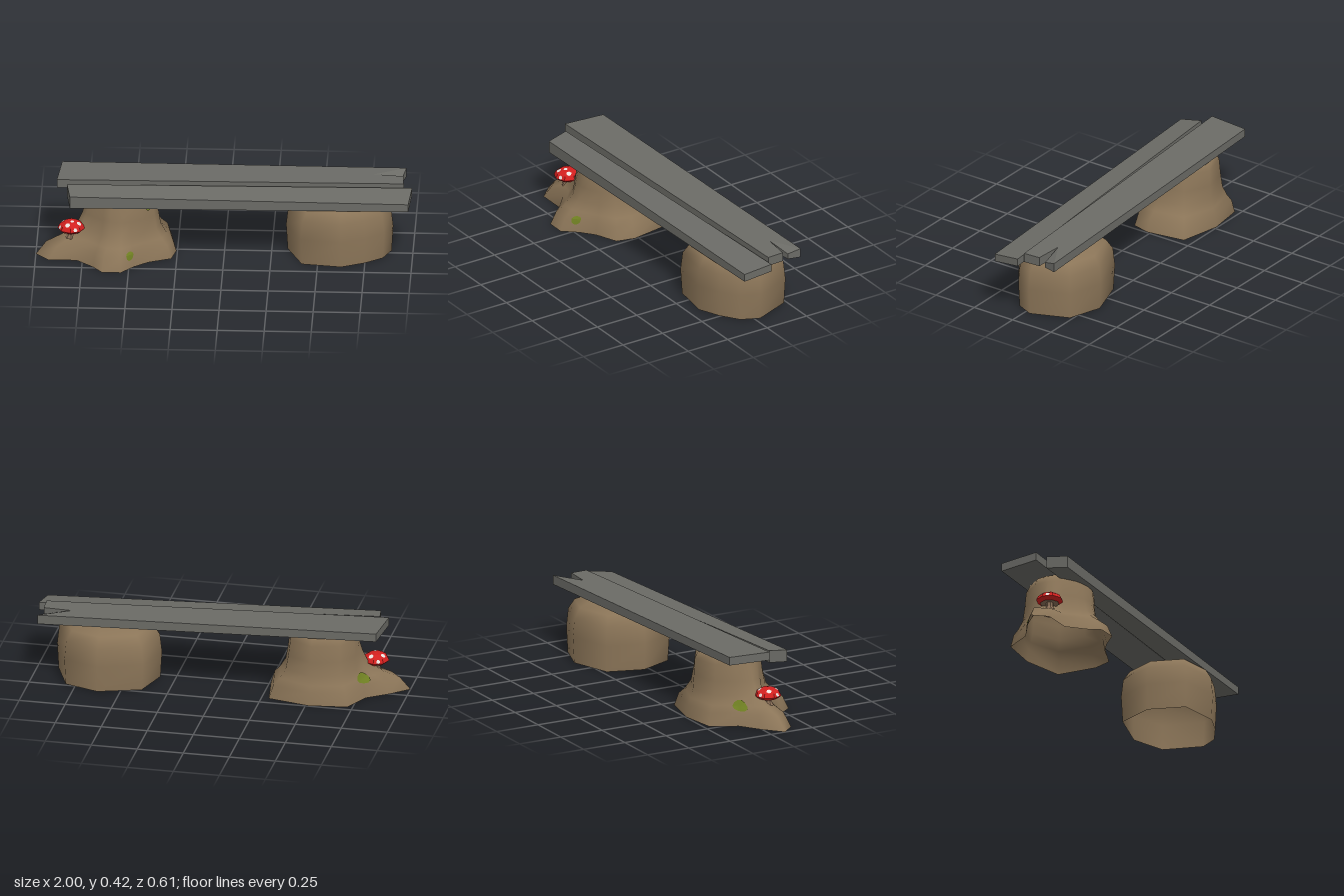
import * as THREE from 'three';

const mat = (name, color, side = THREE.FrontSide) => {
  const m = new THREE.MeshStandardMaterial({ color, side });
  m.name = name;
  return m;
};

// Smooth skin over stacked rings, closed on top and open underneath
function loft(rings) {
  const n = rings[0].length, pos = rings.flat(2), index = [];
  for (let j = 0; j < rings.length - 1; j++) {
    for (let i = 0; i < n; i++) {
      const a = j * n + i, b = j * n + (i + 1) % n;
      index.push(a, a + n, b, b, a + n, b + n);
    }
  }
  const last = (rings.length - 1) * n, mid = [0, 0, 0];
  rings[rings.length - 1].forEach(p => p.forEach((v, k) => { mid[k] += v / n; }));
  pos.push(...mid);
  for (let i = 0; i < n; i++) index.push(rings.length * n, last + (i + 1) % n, last + i);
  const g = new THREE.BufferGeometry();
  g.setAttribute('position', new THREE.Float32BufferAttribute(pos, 3));
  g.setIndex(index);
  g.computeVertexNormals();
  return g;
}

// Point on a lofted skin at fractional column u and ring v
function skinPoint(rings, u, v) {
  const n = rings[0].length;
  const i = Math.floor(u), j = Math.min(Math.floor(v), rings.length - 2);
  const at = (a, b) => new THREE.Vector3(...rings[b][((a % n) + n) % n]);
  const low = at(i, j).lerp(at(i + 1, j), u - i);
  return low.lerp(at(i, j + 1).lerp(at(i + 1, j + 1), u - i), v - j);
}

// Thin patch that follows a lofted skin
function skinPatch(rings, u, v, ru, rv) {
  const g = new THREE.RingGeometry(0, 1, 10, 3), p = g.attributes.position;
  for (let k = 0; k < p.count; k++) {
    const uu = u + p.getX(k) * ru, vv = v + p.getY(k) * rv;
    const q = skinPoint(rings, uu, vv);
    const du = skinPoint(rings, uu + 0.05, vv).sub(q);
    const dv = skinPoint(rings, uu, vv + 0.05).sub(q);
    q.addScaledVector(dv.cross(du).normalize(), 0.005);
    p.setXYZ(k, q.x, q.y, q.z);
  }
  g.computeVertexNormals();
  return g;
}

// Board from a top outline of [x, z, dip], with sloping top and tapering thickness
function plank(outline, topY, thickness) {
  const shape = new THREE.Shape(outline.map(([x, z]) => new THREE.Vector2(x, -z)));
  let g = new THREE.ExtrudeGeometry(shape, { depth: 1, bevelEnabled: false });
  g.rotateX(-Math.PI / 2);
  if (g.index) g = g.toNonIndexed();
  const p = g.attributes.position;
  for (let k = 0; k < p.count; k++) {
    const x = p.getX(k), z = p.getZ(k);
    const corner = outline.find(c => Math.hypot(c[0] - x, c[1] - z) < 1e-4);
    const top = topY(x, z);
    p.setY(k, p.getY(k) > 0.5 ? top - ((corner && corner[2]) || 0) : top - thickness(x));
  }
  g.computeVertexNormals();
  return g;
}

export function createModel() {
  const root = new THREE.Group();
  root.name = 'stumpBench';
  const wood = mat('stump brown', 0x8b7558, THREE.DoubleSide);
  const board = mat('weathered grey', 0x6b6b66);
  const red = mat('cap red', 0xd2201f);
  const white = mat('spot white', 0xe8e2de, THREE.DoubleSide);
  const moss = mat('moss green', 0x6f7f22, THREE.DoubleSide);
  const stemMat = mat('stem tan', 0x8a6f58, THREE.DoubleSide);
  const add = (name, geo, material, parent = root) => {
    const m = new THREE.Mesh(geo, material);
    m.name = name;
    parent.add(m);
    return m;
  };

  // Rooted stump: the spreading foot blends into an oval trunk
  const foot = [
    [-0.255, 0.02], [-0.28, 0.12], [-0.4, 0.17], [-0.475, 0.23], [-0.54, 0.305],
    [-0.64, 0.305], [-0.69, 0.24], [-0.78, 0.16], [-0.93, 0.16], [-1, 0.085],
    [-0.905, 0], [-0.79, -0.08], [-0.72, -0.22], [-0.515, -0.245], [-0.29, -0.195],
  ];
  const cx = -0.545, cz = -0.02;
  const rootedRings = [
    [0, 1, 1], [0.07, 0.8, 1], [0.105, 0.5, 1], [0.155, 0.22, 1],
    [0.23, 0.1, 1], [0.32, 0, 1], [0.365, 0, 0.88],
  ].map(([y, spread, s]) => foot.map(([x, z]) => {
    const a = Math.atan2(z - cz, x - cx);
    const tx = cx + 0.185 * s * Math.cos(a), tz = cz + 0.18 * s * Math.sin(a);
    return [tx + (x - tx) * spread, y, tz + (z - tz) * spread];
  }));
  add('rootedStump', loft(rootedRings), wood);

  // Round stump
  const round = [
    [0.895, -0.03], [0.85, 0.07], [0.75, 0.14], [0.625, 0.195], [0.41, 0.165],
    [0.325, -0.03], [0.387, -0.23], [0.62, -0.305], [0.81, -0.24],
  ];
  const roundRings = [[0, 0.97], [0.145, 1], [0.245, 0.96], [0.3, 0.83], [0.328, 0.55]]
    .map(([y, s]) => round.map(([x, z]) => [0.615 + (x - 0.615) * s, y, -0.055 + (z + 0.055) * s]));
  add('roundStump', loft(roundRings), wood);

  // Moss on the rooted stump
  [[3.3, 1, 0.3, 0.4], [10.8, 1.9, 0.4, 0.7], [1.5, 4.7, 0.25, 0.25]].forEach(([u, v, ru, rv], i) =>
    add('mossPatch' + (i + 1), skinPatch(rootedRings, u, v, ru, rv), moss));

  // Seat boards: the rear one has a split end
  add('rearPlank', plank(
    [[-0.89, 0.05], [0.95, -0.04], [0.945, -0.135], [0.79, -0.148],
      [0.94, -0.17, 0.02], [0.957, -0.24], [-0.87, -0.18]],
    x => 0.42 - 0.018 * (x + 0.88),
    x => 0.045 + 0.003 * (x + 0.88)), board);
  add('frontPlank', plank(
    [[-0.815, 0.2], [0.98, 0.13], [0.995, -0.03], [-0.835, 0.08]],
    (x, z) => 0.408 - 0.0306 * (x + 0.835) - 0.147 * (z - 0.08),
    x => 0.066 - 0.013 * (x + 0.835)), board);

  // Mushroom growing on the side root
  const mushroom = new THREE.Group();
  mushroom.name = 'mushroom';
  mushroom.position.set(-0.812, 0, 0.085);
  root.add(mushroom);
  const lathe = pts => {
    const g = new THREE.LatheGeometry(pts.map(p => new THREE.Vector2(...p)), 8).toNonIndexed();
    g.computeVertexNormals();
    return g;
  };
  add('mushroomStem', lathe([[0.034, 0.075], [0.03, 0.105], [0.02, 0.12], [0.02, 0.15]]), stemMat, mushroom);
  add('mushroomGills', lathe([[0.018, 0.143], [0.052, 0.14]]), stemMat, mushroom);
  add('mushroomCap', lathe([[0.052, 0.14], [0.073, 0.157], [0.062, 0.178], [0.035, 0.195], [0, 0.201]]), red, mushroom);

  // Pale spots lying on the cap facets
  const spot = (phi, r, y, nr, ny, size) => {
    const s = add('capSpot', new THREE.CircleGeometry(size, 6), white, mushroom);
    const n = new THREE.Vector3(nr * Math.sin(phi), ny, nr * Math.cos(phi)).normalize();
    s.position.set(r * Math.sin(phi), y, r * Math.cos(phi)).addScaledVector(n, 0.002);
    s.quaternion.setFromUnitVectors(new THREE.Vector3(0, 0, 1), n);
  };
  for (let k = 0; k < 8; k++) {
    const phi = (k + 0.5) * Math.PI / 4;
    if (k % 2) spot(phi, 0.0448, 0.1865, 0.53, 0.85, 0.014);
    else spot(phi, 0.0624, 0.1675, 0.89, 0.46, 0.011);
  }
  spot(Math.PI / 8, 0.016, 0.198, 0.17, 0.98, 0.011);
  return root;
}
